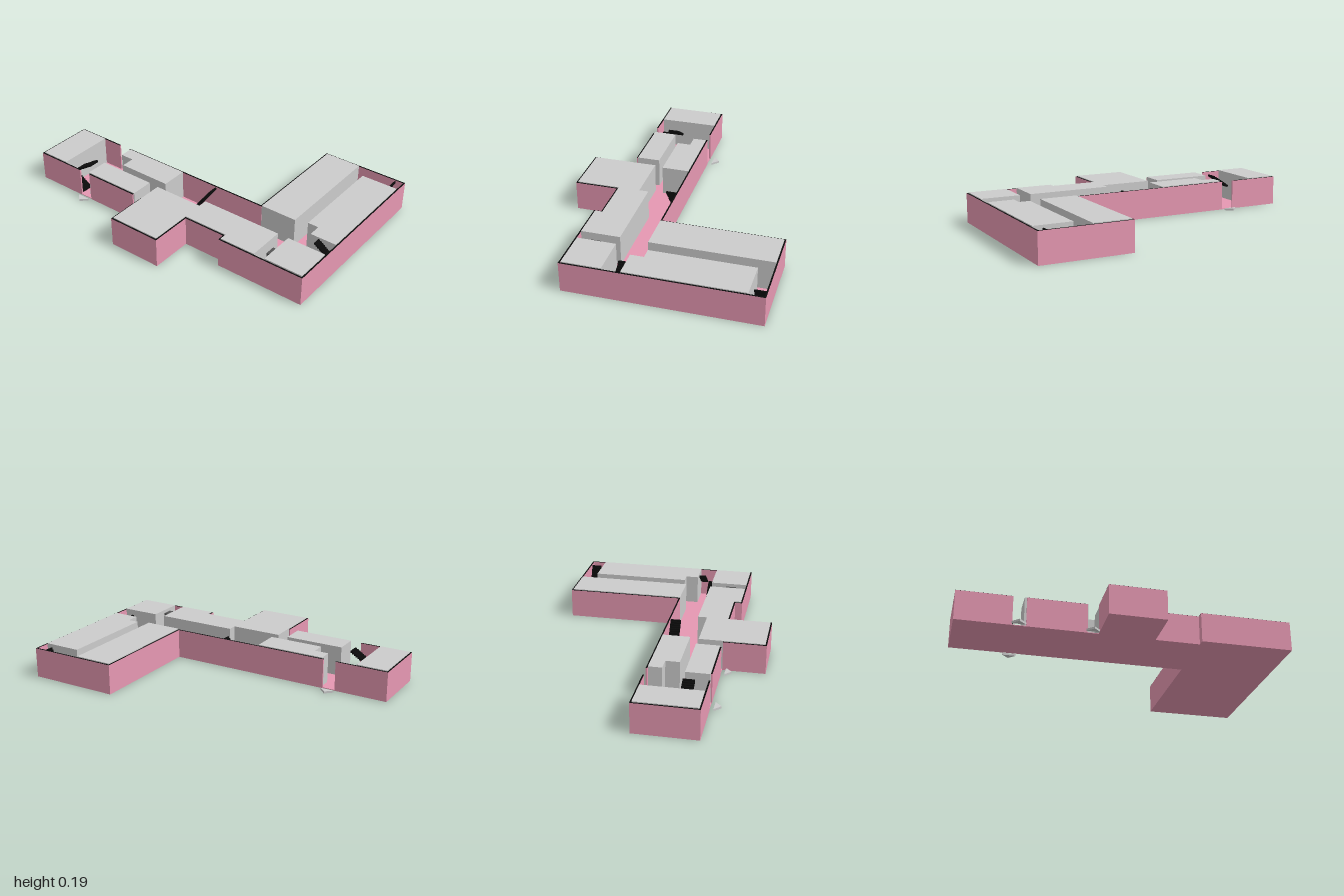
import * as THREE from 'three';

const WALL_H = 0.185, ROOM_H = 0.19, FLOOR_H = 0.004, WALL_T = 0.009;

const grey = new THREE.MeshStandardMaterial({ color: 0xcccccc });
const pink = new THREE.MeshStandardMaterial({ color: 0xe698b2 });
const black = new THREE.MeshStandardMaterial({ color: 0x0c0c0c });
const dark = new THREE.MeshStandardMaterial({ color: 0x555555 });

// Extrudes a plan outline of [x, z] points upwards from y0 to y1
function slab(name, points, y0, y1, material) {
  const shape = new THREE.Shape(points.map(([x, z]) => new THREE.Vector2(x, -z)));
  const geometry = new THREE.ExtrudeGeometry(shape, { depth: y1 - y0, bevelEnabled: false });
  geometry.rotateX(-Math.PI / 2).translate(0, y0, 0);
  const mesh = new THREE.Mesh(geometry, material);
  mesh.name = name;
  return mesh;
}

const rect = (x0, z0, x1, z1) => [[x0, z0], [x1, z0], [x1, z1], [x0, z1]];

// Thickens a right-angled path towards the inside of the building
function wallStrip(path) {
  const normals = path.slice(1).map(([x, z], i) => {
    const dx = x - path[i][0], dz = z - path[i][1], l = Math.hypot(dx, dz);
    return [dz / l, -dx / l];
  });
  const inner = path.map(([x, z], i) => {
    const a = normals[i - 1] || [0, 0], b = normals[i] || [0, 0];
    return [x + (a[0] + b[0]) * WALL_T, z + (a[1] + b[1]) * WALL_T];
  });
  return [...path, ...inner.reverse()];
}

// One flight of treads running in x from xa (height ya) to xb (height yb)
function flight(xa, xb, z0, z1, ya, yb, steps = 10) {
  const group = new THREE.Group();
  group.name = 'stairFlight';
  const run = (xb - xa) / steps, rise = (yb - ya) / steps;
  const geometry = new THREE.BoxGeometry(Math.abs(run) * 1.1, Math.max(rise * 1.1, 0.012), z1 - z0);
  for (let i = 0; i < steps; i++) {
    const tread = new THREE.Mesh(geometry, black);
    tread.name = 'tread';
    tread.position.set(xa + run * (i + 0.5), ya + rise * (i + 0.5), (z0 + z1) / 2);
    group.add(tread);
  }
  return group;
}

export function createModel() {
  const model = new THREE.Group();
  model.name = 'buildingFloor';

  // Outer walls, broken at the three entrances
  const wallPaths = [
    [[-0.67, 0.045], [-1, 0.045], [-1, 0.425], [-0.67, 0.425]],
    [[-0.59, 0.425], [-0.235, 0.425]],
    [[-0.17, 0.425], [-0.17, 0.685], [0.17, 0.685], [0.17, 0.42], [0.44, 0.42], [0.44, 0.465],
      [1, 0.465], [1, -0.685], [0.44, -0.685], [0.44, 0.045], [-0.59, 0.045]],
  ];
  for (const path of wallPaths) {
    const strip = wallStrip(path);
    model.add(slab('outerWall', strip, 0, WALL_H - 0.0005, pink));
    model.add(slab('wallCap', strip, WALL_H - 0.0005, WALL_H, black));
  }

  // Floor plate
  model.add(slab('floor', [[-0.998, 0.047], [0.442, 0.047], [0.442, -0.683], [0.998, -0.683],
    [0.998, 0.463], [0.442, 0.463], [0.442, 0.418], [0.168, 0.418], [0.168, 0.683],
    [-0.168, 0.683], [-0.168, 0.423], [-0.998, 0.423]], 0, FLOOR_H, pink));

  // Room blocks lining the corridors
  const rooms = {
    endRoom: rect(-0.99, 0.055, -0.8, 0.415),
    backRooms: [[-0.578, 0.055], [-0.145, 0.055], [-0.145, 0.223], [-0.49, 0.223], [-0.49, 0.138], [-0.578, 0.138]],
    frontRooms: rect(-0.603, 0.272, -0.23, 0.415),
    hallRooms: [[-0.163, 0.277], [0.16, 0.277], [0.16, 0.22], [0.678, 0.22], [0.678, 0.455], [0.45, 0.455],
      [0.45, 0.41], [0.161, 0.41], [0.161, 0.675], [-0.161, 0.675]],
    cornerRoom: rect(0.747, 0.22, 0.99, 0.453),
    wingInnerRooms: rect(0.45, -0.675, 0.683, 0.053),
    wingOuterRooms: [[0.757, -0.59], [0.99, -0.59], [0.99, 0.11], [0.826, 0.11], [0.826, 0.03], [0.757, 0.03]],
  };
  for (const [name, points] of Object.entries(rooms)) {
    model.add(slab(name, points, FLOOR_H, ROOM_H, grey));
  }

  // Staircases: two double-flight, two single-flight
  model.add(
    flight(-0.665, -0.785, 0.345, 0.415, 0.02, 0.1),
    flight(-0.785, -0.665, 0.27, 0.34, 0.1, 0.178),
    flight(0.88, 0.99, 0.163, 0.207, 0.02, 0.1),
    flight(0.99, 0.88, 0.112, 0.157, 0.1, 0.178),
    flight(0, 0.115, 0.055, 0.12, 0.02, 0.178, 14),
    flight(0.87, 0.94, -0.675, -0.61, 0.02, 0.178, 12),
  );

  // Lift in the side corridor
  model.add(slab('lift', rect(0.715, 0.32, 0.745, 0.385), FLOOR_H, 0.17, dark));

  // Arrow markers outside the entrances, pointing outwards
  for (const [x, z, dir] of [[-0.635, 0.015, -1], [-0.635, 0.447, 1], [-0.205, 0.447, 1]]) {
    model.add(slab('entranceMarker', [[x - 0.042, z], [x + 0.042, z], [x, z + dir * 0.04]], 0, 0.013, grey));
  }
  return model;
}
